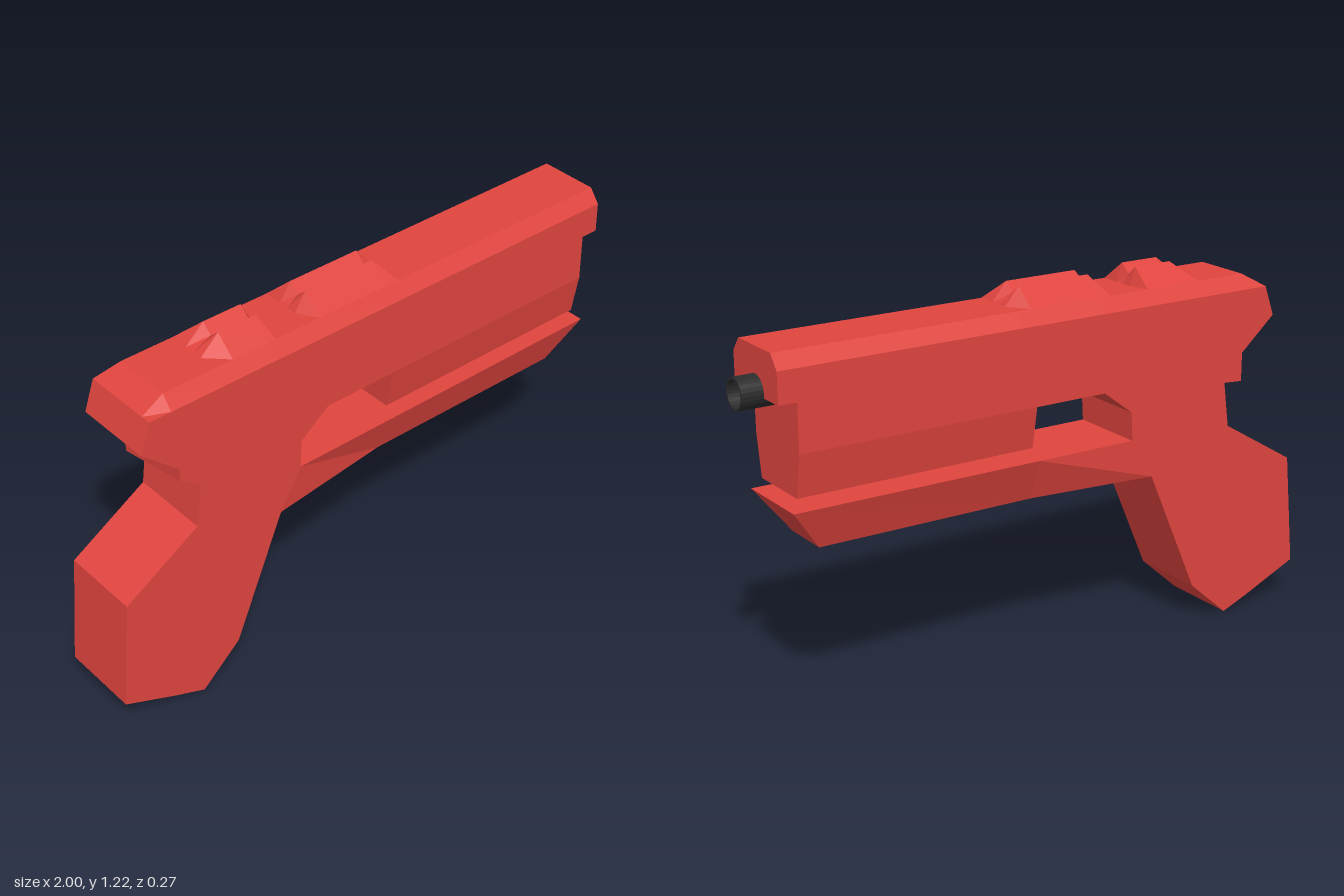
import * as THREE from 'three';

const W = 0.135; // half thickness of the whole body
const red = new THREE.MeshStandardMaterial({ color: 0xe0443e, flatShading: true });
const black = new THREE.MeshStandardMaterial({ color: 0x2b2b2b, flatShading: true });

// Skins a row of cross-sections that advance along +x and caps both ends.
// Each section runs from -z to +z over the top, then back underneath.
function loft(sections) {
  const pos = [];
  const tri = (...pts) => pts.forEach((p) => pos.push(...p));
  const n = sections[0].length;
  for (let i = 0; i < sections.length - 1; i++) {
    for (let j = 0; j < n; j++) {
      const k = (j + 1) % n;
      const [s, t] = [sections[i], sections[i + 1]];
      tri(s[j], s[k], t[k]);
      tri(s[j], t[k], t[j]);
    }
  }
  const first = sections[0], last = sections[sections.length - 1];
  for (let j = 1; j < n - 1; j++) {
    tri(first[0], first[j + 1], first[j]);
    tri(last[0], last[j], last[j + 1]);
  }
  const g = new THREE.BufferGeometry();
  g.setAttribute('position', new THREE.Float32BufferAttribute(pos, 3));
  g.computeVertexNormals();
  return g;
}

// Four-cornered section: top edge and bottom edge, each with x, y and half width.
const quad = ([tx, ty, tw], [bx, by, bw]) => [
  [tx, ty, -tw], [tx, ty, tw], [bx, by, bw], [bx, by, -bw],
];

function frameAndGrip() {
  const outline = [
    [-0.84, 1.11], [-0.875, 1.01], [-0.75, 0.9], [-0.75, 0.855], [-0.68, 0.81],
    [-0.7, 0.66], [-0.965, 0.5], [-1, 0.125], [-0.82, 0.045], [-0.71, 0],
    [-0.57, 0.125], [-0.465, 0.37], [-0.39, 0.545], [-0.31, 0.68], [-0.305, 0.775],
    [-0.2, 0.855], [0.87, 0.855], [0.87, 1.01], [0.93, 1.01], [0.93, 1.11],
  ];
  const shape = new THREE.Shape(outline.map(([x, y]) => new THREE.Vector2(x, y)));
  const g = new THREE.ExtrudeGeometry(shape, { depth: 2 * W, bevelEnabled: false });
  g.translate(0, 0, -W);
  // The spur behind the grip hangs lower on the far side
  const p = g.attributes.position;
  for (let i = 0; i < p.count; i++) {
    const onSpur = Math.abs(p.getX(i) + 0.75) < 0.001 && Math.abs(p.getY(i) - 0.855) < 0.001;
    if (onSpur && p.getZ(i) < 0) p.setY(i, 0.805);
  }
  g.computeVertexNormals();
  return g;
}

// Chamfered top with two raised sights, each with a V groove
function slideTop() {
  const zs = [-W, -0.1, -0.035, 0, 0.035, 0.1, W];
  const flat = [1.11, 1.155, 1.155, 1.155, 1.155, 1.155, 1.11];
  const raised = [1.11, 1.155, 1.215, 1.185, 1.215, 1.155, 1.11];
  const tail = zs.map(() => 1.11);
  const stations = [
    [-0.84, tail], [-0.765, flat],
    [-0.585, flat], [-0.52, raised], [-0.385, raised], [-0.365, flat],
    [-0.24, flat], [-0.2, raised], [0.055, raised], [0.105, flat],
    [0.93, flat],
  ];
  return loft(stations.map(([x, ys]) => zs.map((z, i) => [x, ys[i], z])));
}

function barrel() {
  const profile = [[0.05, 0], [0.05, 0.13], [0.043, 0.13], [0.043, 0.01], [0, 0.01]];
  const g = new THREE.LatheGeometry(profile.map(([r, y]) => new THREE.Vector2(r, y)), 24);
  g.rotateZ(-Math.PI / 2);
  g.translate(0.87, 1.022, 0);
  return g;
}

export function createModel() {
  const group = new THREE.Group();
  group.name = 'toyBlaster';
  const add = (name, geometry, material = red) => {
    const mesh = new THREE.Mesh(geometry, material);
    mesh.name = name;
    group.add(mesh);
  };

  add('frameAndGrip', frameAndGrip());
  add('slideTop', slideTop());
  // Tapered block hanging below the front of the frame
  add('lowerFrame', loft([
    quad([0.055, 0.855, W], [0.055, 0.717, 0.11]),
    quad([0.87, 0.855, W], [0.87, 0.715, 0.11]),
  ]));
  // Rail reaching forward from the grip, narrowing underneath
  add('lowerRail', loft([
    quad([-0.31, 0.68, W], [-0.39, 0.545, W]),
    quad([0.045, 0.68, W], [0.045, 0.542, 0.083]),
    quad([0.895, 0.68, W], [0.79, 0.54, 0.083]),
  ]));
  add('barrel', barrel(), black);
  return group;
}
